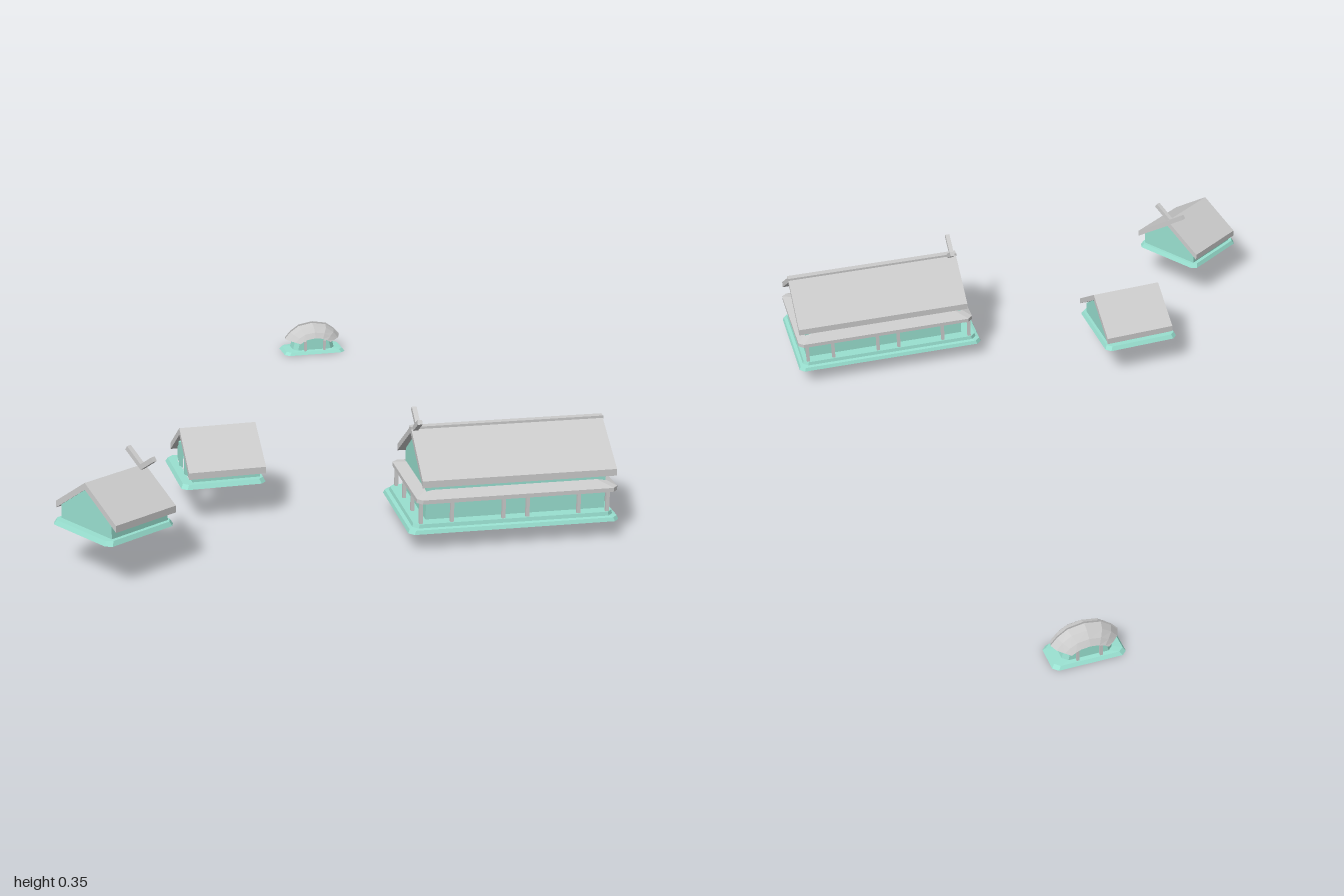
import * as THREE from 'three';

const opts = { flatShading: true, side: THREE.DoubleSide };
const grey = new THREE.MeshStandardMaterial({ color: 0xcccccc, ...opts });
const teal = new THREE.MeshStandardMaterial({ color: 0x99e0d0, ...opts });

function add(parent, name, geo, mat, x = 0, y = 0, z = 0) {
  const m = new THREE.Mesh(geo, mat);
  m.name = name;
  m.position.set(x, y, z);
  parent.add(m);
  return m;
}

// Rectangle with cut corners, as a ring of points at height y
function ring(l, w, y, c = 0.015) {
  const a = l / 2, b = w / 2;
  return [[a, b - c], [a - c, b], [c - a, b], [-a, b - c], [-a, c - b], [c - a, -b], [a - c, -b], [a, c - b]]
    .map(([x, z]) => [x, y, z]);
}

// Surface through rows of points
function loft(rows, closed = true) {
  const n = rows[0].length, idx = [];
  for (let r = 0; r < rows.length - 1; r++) {
    for (let i = 0; i < (closed ? n : n - 1); i++) {
      const j = (i + 1) % n, a = r * n + i, b = r * n + j;
      idx.push(a, a + n, b, b, a + n, b + n);
    }
  }
  const g = new THREE.BufferGeometry();
  g.setAttribute('position', new THREE.Float32BufferAttribute(rows.flat(2), 3));
  g.setIndex(idx);
  g.computeVertexNormals();
  return g;
}

// Gable roof slab with its ridge along x; y values are for the upper surface
function roof(l, half, eave, ridge, t = 0.02) {
  const s = new THREE.Shape([[-half, eave], [0, ridge], [half, eave], [half, eave - t], [0, ridge - t], [-half, eave - t]]
    .map(p => new THREE.Vector2(...p)));
  return new THREE.ExtrudeGeometry(s, { depth: l, bevelEnabled: false }).translate(0, 0, -l / 2).rotateY(Math.PI / 2);
}

// Open-bottomed walls with two gable ends; an optional doorway at -x
function walls(parent, l, half, y0, eave, ridge, x = 0, door = 0) {
  for (const side of [-1, 1]) {
    const s = new THREE.Shape([[-half, y0], [half, y0], [half, eave], [0, ridge], [-half, eave]]
      .map(p => new THREE.Vector2(...p)));
    if (door && side < 0) {
      const w = door / 2, top = y0 + 0.075;
      s.holes.push(new THREE.Path([[-w, y0 + 0.002], [-w, top], [w, top], [w, y0 + 0.002]]
        .map(p => new THREE.Vector2(...p))));
    }
    add(parent, 'gableWall', new THREE.ShapeGeometry(s).rotateY(side * Math.PI / 2), teal, x + side * l / 2);
    const wall = add(parent, 'sideWall', new THREE.PlaneGeometry(l, eave - y0), teal, x, (eave + y0) / 2, side * half);
    if (side < 0) wall.rotation.y = Math.PI;
  }
}

// Crossed beams standing over one end of the ridge
function crossedBeams(parent, x, y) {
  for (const s of [-1, 1]) {
    const beam = add(parent, 'crossedBeam', new THREE.BoxGeometry(0.014, 0.014, 0.15), grey, x + s * 0.006, y, 0);
    beam.rotation.x = s * 0.61;
  }
}

function building(parent, name, x, z, turn) {
  const g = new THREE.Group();
  g.name = name;
  g.position.set(x, 0, z);
  g.rotation.y = THREE.MathUtils.degToRad(turn);
  parent.add(g);
  return g;
}

function hall(parent) {
  const g = building(parent, 'longHall', 0.489, 0.775, -3.7);
  // two-step platform, open in the middle
  add(g, 'platform', loft([ring(0.614, 0.35, 0.052), ring(0.606, 0.342, 0.063), ring(0.585, 0.322, 0.065),
    ring(0.58, 0.318, 0.076), ring(0.5, 0.245, 0.076)]), teal);
  walls(g, 0.525, 0.125, 0.07, 0.2, 0.295, 0.013);
  // veranda roof all the way round
  add(g, 'verandaRoof', loft([ring(0.5, 0.24, 0.148), ring(0.585, 0.33, 0.138), ring(0.585, 0.33, 0.15),
    ring(0.5, 0.24, 0.166)]), grey, 0.01);
  const post = new THREE.BoxGeometry(0.01, 0.068, 0.01);
  for (const s of [-1, 1]) {
    for (const x of [-0.27, -0.18, -0.03, 0.04, 0.19, 0.275]) add(g, 'post', post, grey, x, 0.11, s * 0.15);
    add(g, 'post', post, grey, -0.27, 0.11, s * 0.05);
    add(g, 'rail', new THREE.BoxGeometry(0.55, 0.006, 0.006), grey, 0, 0.14, s * 0.15);
  }
  add(g, 'upperRoof', roof(0.565, 0.155, 0.203, 0.313), grey, 0.015);
  add(g, 'ridgeCap', new THREE.BoxGeometry(0.568, 0.01, 0.02), grey, 0.015, 0.308);
  crossedBeams(g, -0.25, 0.302);
}

function turnedHut(parent) {
  const g = building(parent, 'turnedHut', -0.64, 0.82, 30);
  add(g, 'base', loft([ring(0.242, 0.25, 0.126), ring(0.23, 0.238, 0.139), ring(0.19, 0.2, 0.139)]), teal, -0.01);
  walls(g, 0.2, 0.107, 0.132, 0.18, 0.255, -0.005);
  add(g, 'roof', roof(0.214, 0.128, 0.184, 0.272), grey);
  crossedBeams(g, 0.094, 0.263);
}

function squareHut(parent) {
  const g = building(parent, 'squareHut', -0.27, 0.441, 0);
  add(g, 'base', loft([ring(0.25, 0.266, 0.105), ring(0.238, 0.252, 0.118), ring(0.19, 0.2, 0.118)]), teal, -0.008);
  walls(g, 0.2, 0.108, 0.112, 0.15, 0.232, 0.002, 0.07);
  for (const s of [-1, 1]) {
    add(g, 'doorPost', new THREE.BoxGeometry(0.01, 0.08, 0.01), teal, -0.102, 0.153, s * 0.038);
  }
  add(g, 'roof', roof(0.228, 0.133, 0.156, 0.248), grey, 0.001);
}

function domedHut(parent) {
  const g = building(parent, 'domedHut', 0.385, -0.942, 0);
  add(g, 'base', loft([ring(0.001, 0.001, 0, 0), ring(0.22, 0.114, 0), ring(0.205, 0.1, 0.01), ring(0.15, 0.074, 0.012),
    ring(0.13, 0.07, 0.055)]), teal);
  // shell roof: the ridge bends down to a tip at each end, the eaves are shorter
  const us = [-1, -0.8, -0.5, 0, 0.5, 0.8, 1];
  const rows = [-1, -0.8, -0.45, 0, 0.45, 0.8, 1].map(v => us.map(u => {
    const end = Math.abs(u) ** 2.6;
    const arch = Math.sqrt(1 - 0.97 * v * v);
    const doorLift = Math.abs(v) === 1 ? 0.009 * (1 - u * u) : 0;
    return [u * (0.1 - 0.045 * v * v), 0.038 + 0.062 * arch * (1 - 0.85 * end) + doorLift, v * 0.053];
  }));
  add(g, 'shellRoof', loft(rows, false), grey);
  // thin rib along the ridge
  const rib = [0, 0.006].map(h => us.map(u => [u * 0.1, 0.1 - 0.0527 * Math.abs(u) ** 2.6 + h, 0]));
  add(g, 'ridgeRib', loft(rib, false), grey);
  for (const sx of [-1, 1]) for (const sz of [-1, 1]) {
    add(g, 'post', new THREE.BoxGeometry(0.008, 0.036, 0.008), grey, sx * 0.035, 0.028, sz * 0.043);
  }
}

export function createModel() {
  const model = new THREE.Group();
  model.name = 'village';
  hall(model);
  turnedHut(model);
  squareHut(model);
  domedHut(model);
  return model;
}
